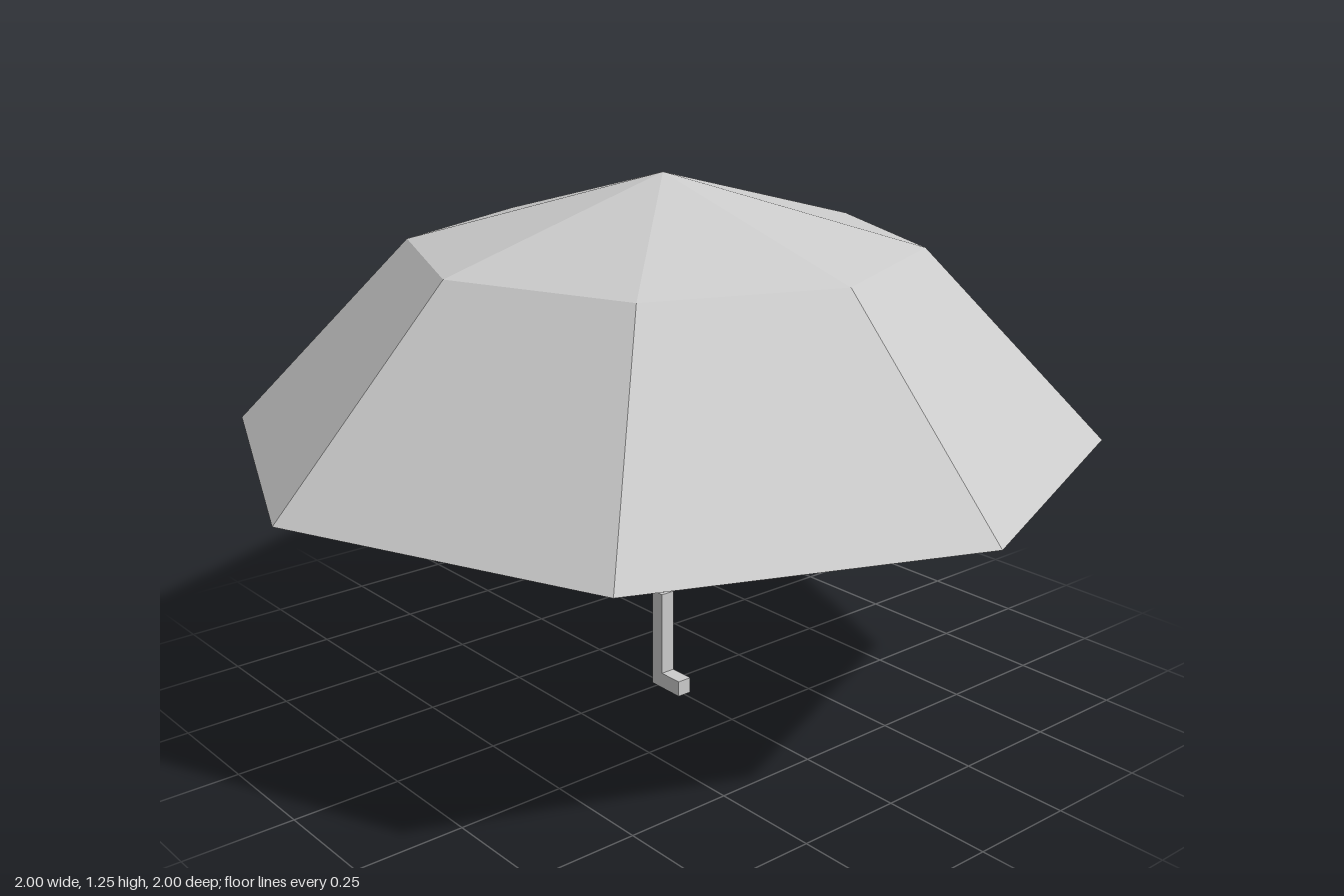
import * as THREE from 'three';

export function createModel() {
  const group = new THREE.Group();
  const material = new THREE.MeshStandardMaterial({ color: 0xcccccc, flatShading: true });
  const thin = new THREE.MeshStandardMaterial({ color: 0xcccccc, flatShading: true, side: THREE.DoubleSide });

  const add = (name, geometry, mat = material) => {
    const mesh = new THREE.Mesh(geometry, mat);
    mesh.name = name;
    group.add(mesh);
    return mesh;
  };

  // Open eight-sided canopy: steep skirt and shallow crown
  const rimY = 0.65, topY = 1.245;
  const profile = [[1, rimY], [0.583, 1.085], [0, topY]].map(([r, y]) => new THREE.Vector2(r, y));
  add('canopy', new THREE.LatheGeometry(profile, 8), thin);

  // Slim square shaft from the grip up to the crown
  const gripTop = 0.243, shaftTop = topY - 0.005;
  add('shaft', new THREE.BoxGeometry(0.018, shaftTop - gripTop, 0.018))
    .position.y = (shaftTop + gripTop) / 2;

  // L-shaped handle, its toe pointing to the front
  const h = 0.018, toe = 0.08, toeY = 0.038;
  const outline = new THREE.Shape([
    [-h, 0], [toe, 0], [toe, toeY], [h, toeY], [h, gripTop], [-h, gripTop],
  ].map(([z, y]) => new THREE.Vector2(z, y)));
  const handle = new THREE.ExtrudeGeometry(outline, { depth: 2 * h, bevelEnabled: false });
  handle.translate(0, 0, -h).rotateY(-Math.PI / 2);
  add('handle', handle);

  return group;
}
